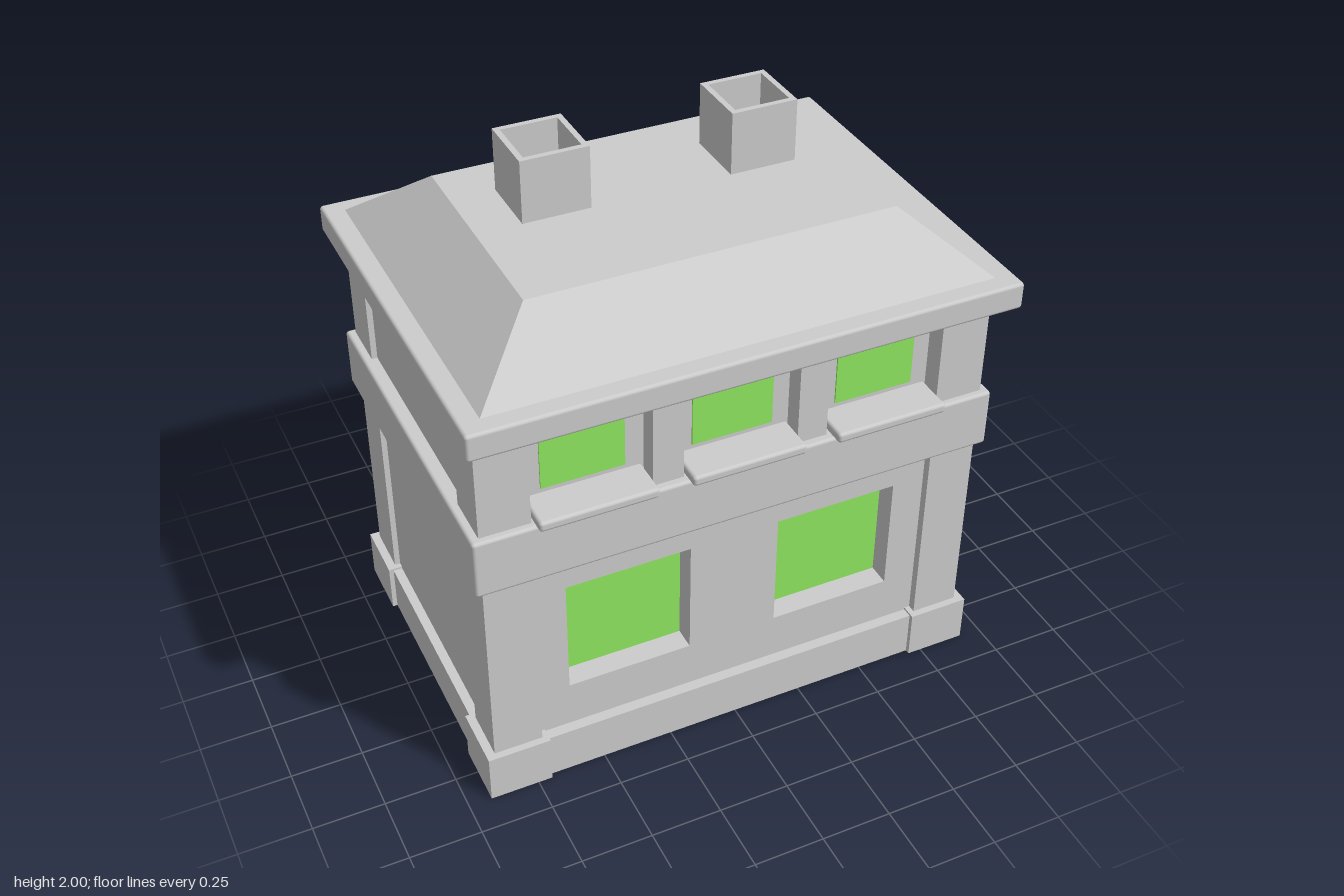
import * as THREE from 'three';
import { RoundedBoxGeometry } from 'three/addons/geometries/RoundedBoxGeometry.js';

export function createModel() {
  const house = new THREE.Group();
  house.name = 'house';
  const stone = new THREE.MeshStandardMaterial({ color: 0xcccccc });
  stone.name = 'grey stone';
  const glass = new THREE.MeshStandardMaterial({ color: 0x91e861 });
  glass.name = 'green glass';

  const add = (name, geometry, material = stone) => {
    const mesh = new THREE.Mesh(geometry, material);
    mesh.name = name;
    house.add(mesh);
    return mesh;
  };
  // Box given by its limits; r rounds the edges
  const box = (name, x0, x1, y0, y1, z0, z1, r = 0, material = stone) => {
    const s = [x1 - x0, y1 - y0, z1 - z0];
    const g = r ? new RoundedBoxGeometry(...s, 2, r) : new THREE.BoxGeometry(...s);
    g.translate((x0 + x1) / 2, (y0 + y1) / 2, (z0 + z1) / 2);
    return add(name, g, material);
  };
  const rectangle = (T, x0, x1, y0, y1) => new T(
    [[x0, y0], [x1, y0], [x1, y1], [x0, y1]].map(p => new THREE.Vector2(...p)));
  // Plan shape (x, -z) raised from y0 to y1
  const prism = (name, shape, y0, y1) => {
    const g = new THREE.ExtrudeGeometry(shape, { depth: y1 - y0, bevelEnabled: false });
    g.rotateX(-Math.PI / 2).translate(0, y0, 0);
    return add(name, g);
  };
  // Hollow rectangular ring: z0 is the back, z1 the front, t the thickness
  const ring = (name, x, z0, z1, t, y0, y1) => {
    const shape = rectangle(THREE.Shape, -x, x, -z1, -z0);
    shape.holes.push(rectangle(THREE.Path, t - x, x - t, t - z1, -z0 - t));
    prism(name, shape, y0, y1);
  };
  // L-shaped corner pieces on all four corners
  const corners = (name, ox, oz, ix, iz, t, y0, y1) => {
    for (const sx of [-1, 1]) for (const sz of [-1, 1]) {
      const pts = [[ox, oz], [ix, oz], [ix, oz - t], [ox - t, oz - t], [ox - t, iz], [ox, iz]];
      prism(name, new THREE.Shape(pts.map(([x, z]) => new THREE.Vector2(sx * x, -sz * z))), y0, y1);
    }
  };

  // Hollow plinth, corner blocks and the foot of the walls
  ring('plinth', 0.903, -0.613, 0.613, 0.05, 0, 0.172);
  corners('cornerBlock', 0.92, 0.63, 0.7, 0.405, 0.06, 0, 0.18);
  ring('wallFoot', 0.87, -0.585, 0.575, 0.025, 0.01, 0.335);

  // Hollow ground floor with a front wall pierced by two windows
  ring('lowerWalls', 0.87, -0.585, 0.488, 0.025, 0.325, 0.92);
  const front = rectangle(THREE.Shape, -0.87, 0.87, 0.325, 0.92);
  for (const x of [-0.383, 0.381]) {
    front.holes.push(rectangle(THREE.Path, x - 0.221, x + 0.221, 0.345, 0.78));
    box('lowerWindow', x - 0.222, x + 0.222, 0.344, 0.781, 0.487, 0.495, 0, glass);
  }
  const frontGeometry = new THREE.ExtrudeGeometry(front, { depth: 0.087, bevelEnabled: false });
  add('frontWall', frontGeometry.translate(0, 0, 0.488));
  corners('lowerPilaster', 0.89, 0.605, 0.72, 0.425, 0.04, 0.15, 0.92);

  // Band between the floors
  box('floorBand', -0.92, 0.92, 0.9, 1.115, -0.63, 0.63, 0.012);

  // Upper floor
  box('upperWalls', -0.87, 0.87, 1.08, 1.52, -0.585, 0.53);
  corners('upperPilaster', 0.89, 0.605, 0.718, 0.425, 0.08, 1.1, 1.52);
  for (const s of [-1, 1]) {
    box('windowPier', s * 0.255 - 0.053, s * 0.255 + 0.053, 1.1, 1.52, 0.5, 0.6);
  }
  for (const x of [-0.515, 0, 0.515]) {
    box('upperWindow', x - 0.142, x + 0.142, 1.175, 1.43, 0.527, 0.535, 0, glass);
    box('windowSill', x - 0.2, x + 0.2, 1.12, 1.157, 0.5, 0.67, 0.012);
  }

  // Eaves and hipped roof with a flat top
  box('eaves', -0.94, 0.94, 1.488, 1.584, -0.705, 0.705, 0.012);
  const roof = new THREE.BoxGeometry(1.76, 0.205, 1.3).translate(0, 1.6775, 0);
  const p = roof.attributes.position;
  for (let i = 0; i < p.count; i++) {
    if (p.getY(i) > 1.7) {
      p.setX(i, Math.sign(p.getX(i)) * 0.633);
      p.setZ(i, Math.sign(p.getZ(i)) * 0.402);
    }
  }
  roof.computeVertexNormals();
  add('roof', roof);

  // Hollow chimneys
  for (const x of [-0.36, 0.366]) {
    const flue = rectangle(THREE.Shape, x - 0.117, x + 0.117, -0.003, 0.231);
    flue.holes.push(rectangle(THREE.Path, x - 0.097, x + 0.097, 0.017, 0.211));
    prism('chimney', flue, 1.76, 2);
  }
  return house;
}
